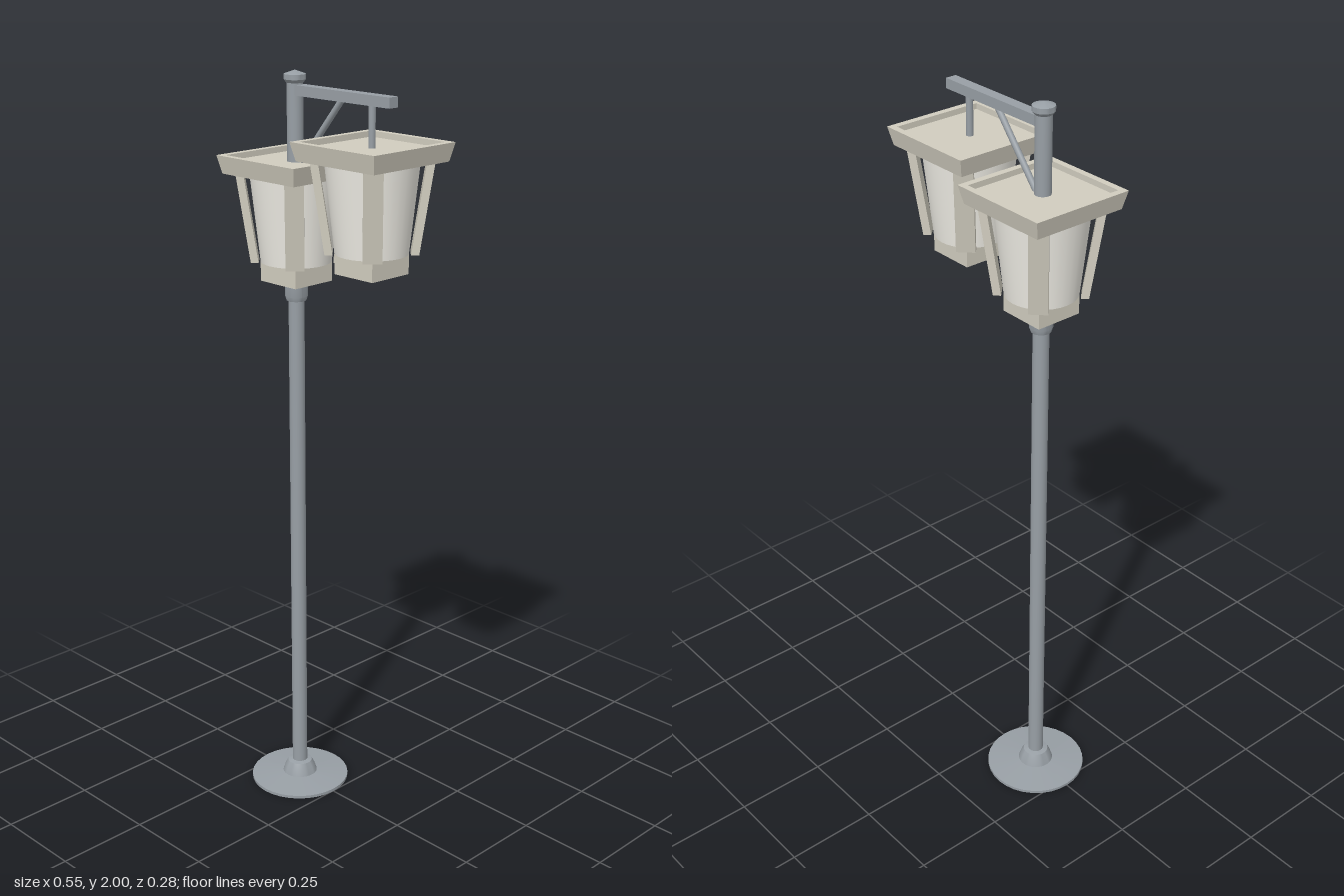
import * as THREE from 'three';
import { toCreasedNormals } from 'three/addons/utils/BufferGeometryUtils.js';

const metal = new THREE.MeshStandardMaterial({ color: 0x989fa5 });
const frame = new THREE.MeshStandardMaterial({ color: 0xd1cdbf });
const glass = new THREE.MeshStandardMaterial({ color: 0xf0eee6 });
const POST_X = -0.135;

function add(parent, name, geometry, material, x = 0, y = 0, z = 0) {
  const mesh = new THREE.Mesh(geometry, material);
  mesh.name = name;
  mesh.position.set(x, y, z);
  parent.add(mesh);
  return mesh;
}

// Turned part from [radius, height] pairs
function turned(points, sides = 24) {
  const profile = points.map(([r, y]) => new THREE.Vector2(r, y));
  return toCreasedNormals(new THREE.LatheGeometry(profile, sides), 0.6);
}

// Square part from [half width, height] pairs
function squared(points) {
  return turned(points.map(([h, y]) => [h * Math.SQRT2, y]), 4).rotateY(Math.PI / 4);
}

// Flat bar across a corner, leaning outward towards the roof
function cornerBar() {
  const y0 = 0.052, y1 = 0.285, depth = 0.02;
  const geo = new THREE.BoxGeometry(0.048, y1 - y0, depth);
  geo.translate(0, (y0 + y1) / 2, -depth / 2);
  const p = geo.attributes.position;
  for (let i = 0; i < p.count; i++) {
    p.setZ(i, p.getZ(i) + THREE.MathUtils.mapLinear(p.getY(i), y0, y1, 0.116, 0.152));
  }
  geo.computeVertexNormals();
  return geo;
}

function lantern(name, x, y) {
  const g = new THREE.Group();
  g.name = name;
  g.position.set(x, y, 0);
  // Square foot
  add(g, 'lanternFoot', squared([[0, 0], [0.065, 0], [0.065, 0.053], [0, 0.053]]), frame);
  // Round tapered shade
  add(g, 'shade', turned([[0, 0.053], [0.092, 0.053], [0.118, 0.285], [0, 0.285]], 32), glass);
  // Bars at the four corners
  for (let i = 0; i < 4; i++) {
    add(g, 'cornerBar', cornerBar(), frame).rotation.y = Math.PI / 4 + i * Math.PI / 2;
  }
  // Flared roof with a sunken top
  add(g, 'roof', squared([[0, 0.278], [0.131, 0.278], [0.1415, 0.325], [0.124, 0.325], [0.124, 0.31], [0, 0.31]]), frame);
  return g;
}

export function createModel() {
  const model = new THREE.Group();
  model.name = 'streetLamp';

  // Foot plate with a flared socket, hollow underneath
  add(model, 'basePlate', turned([
    [0.02, 0.045], [0.03, 0.04], [0.043, 0.008], [0.045, 0], [0.137, 0], [0.137, 0.008], [0.048, 0.016],
    [0.042, 0.034], [0.034, 0.05], [0.02, 0.053],
  ], 32), metal, POST_X);

  // Post, collar and cap
  add(model, 'post', new THREE.CylinderGeometry(0.021, 0.021, 1.95, 20), metal, POST_X, 1.015);
  add(model, 'collar', turned([[0.02, 1.412], [0.026, 1.412], [0.03, 1.424], [0.03, 1.47], [0, 1.47]]), metal, POST_X);
  add(model, 'cap', turned([[0.02, 1.968], [0.023, 1.97], [0.028, 1.977], [0.028, 1.99], [0, 2]]), metal, POST_X);

  // Arm, hanging rod and diagonal brace
  add(model, 'arm', new THREE.BoxGeometry(0.338, 0.026, 0.03), metal, 0.034, 1.952);
  add(model, 'hangingRod', new THREE.CylinderGeometry(0.009, 0.009, 0.11, 12), metal, 0.133, 1.888);
  const from = new THREE.Vector3(POST_X + 0.015, 1.762, 0), to = new THREE.Vector3(0.032, 1.943, 0);
  const brace = add(model, 'brace', new THREE.CylinderGeometry(0.008, 0.008, from.distanceTo(to), 12), metal);
  brace.position.lerpVectors(from, to, 0.5);
  brace.quaternion.setFromUnitVectors(new THREE.Vector3(0, 1, 0), to.clone().sub(from).normalize());

  model.add(lantern('postLantern', POST_X, 1.463), lantern('hangingLantern', -POST_X, 1.527));
  return model;
}
